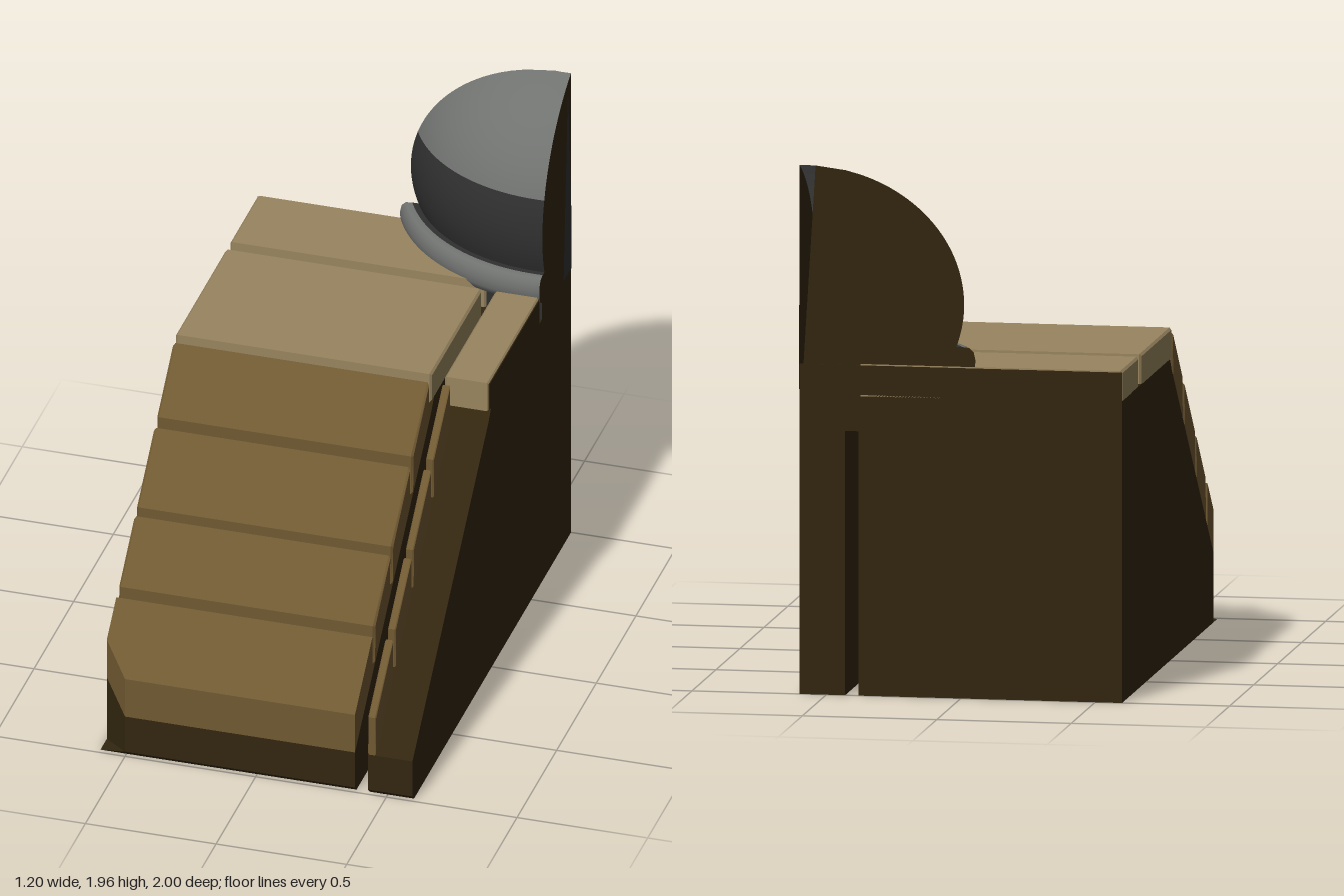
import * as THREE from 'three';

const mat = (name, color) => new THREE.MeshStandardMaterial({ name, color, side: THREE.DoubleSide });

export function createModel() {
  const group = new THREE.Group();
  const tan = mat('tan', 0x98855f), brown = mat('brown', 0x705932), dark = mat('darkBrown', 0x32260f);
  const grey = mat('grey', 0x707270), charcoal = mat('charcoal', 0x303030);

  const add = (name, geo, material) => {
    const mesh = new THREE.Mesh(geo, material);
    mesh.name = name;
    group.add(mesh);
    return mesh;
  };
  const shapeOf = pts => new THREE.Shape(pts.map(p => new THREE.Vector2(p[0], p[1])));

  // Profile given as [z, y], extruded from x0 to x1, optionally with its front left corner cut off
  function prism(name, pts, x0, x1, material, bevel = 0, cutCorner = false) {
    const geo = new THREE.ExtrudeGeometry(shapeOf(pts), {
      depth: x1 - x0 - 2 * bevel, bevelEnabled: bevel > 0, bevelSize: bevel,
      bevelThickness: bevel, bevelOffset: -bevel, bevelSegments: 1
    });
    geo.rotateY(-Math.PI / 2).translate(x1 - bevel, 0, 0);
    if (cutCorner) {
      const p = geo.attributes.position;
      for (let i = 0; i < p.count; i++)
        if (p.getX(i) < x0 + 0.001 && p.getZ(i) > 0.999) p.setX(i, x0 + 0.1);
      geo.computeVertexNormals();
    }
    return add(name, geo, material);
  }

  const topLine = z => 0.33 + (1 - z) * 0.936;
  const coreLine = z => topLine(z) - 0.16;

  // Sloped cores either side of the open slot
  const core = [[-1, 0], [0.9, 0], [0.9, coreLine(0.9)], [0.04, coreLine(0.04)], [0, 1.12], [-1, 1.12]];
  const toe = [[0.9, 0], [0.98, 0], [1, 0.02], [1, coreLine(1)], [0.9, coreLine(0.9)]];
  prism('leftCore', core, -0.6, 0.38, dark);
  prism('leftCoreToe', toe, -0.6, 0.38, dark, 0, true);
  prism('rightCore', core, 0.43, 0.6, dark);
  prism('rightCoreToe', toe, 0.43, 0.6, dark);

  // Sloped slabs with vertical joints
  const slab = (z0, z1) => [[z0, coreLine(z0)], [z1, coreLine(z1)], [z1, topLine(z1)], [z0, topLine(z0)]];
  for (const [z0, z1] of [[0.06, 0.27], [0.3, 0.525], [0.55, 0.75]]) {
    prism('slopeSlab', slab(z0, z1), -0.6, 0.38, brown, 0.008);
    prism('slabEdge', slab(z0, z1), 0.43, 0.46, brown, 0.004);
  }
  prism('lowestSlab', slab(0.78, 0.9), -0.6, 0.38, brown);
  prism('lowestSlabToe', slab(0.9, 1), -0.6, 0.38, brown, 0, true);
  prism('slabEdge', slab(0.78, 1), 0.43, 0.46, brown, 0.004);

  // Flat top slabs
  const flat = (z0, z1) => [[z0, 1.11], [z1, 1.11], [z1, 1.23], [z0, 1.23]];
  prism('topSlab', flat(-0.6, 0.035), -0.6, 0.38, tan, 0.008);
  prism('rearTopSlab', flat(-1, -0.655), -0.6, 0.38, tan, 0.008);
  prism('rightTopSlab', flat(-0.6, 0.035), 0.43, 0.6, tan, 0.008);

  // Dark cut faces on the slab ends
  const plate = (name, w, h, d, x, y, z) =>
    add(name, new THREE.BoxGeometry(w, h, d), dark).position.set(x, y, z);
  plate('rightSlabEnd', 0.004, 0.11, 0.63, 0.6, 1.17, -0.283);
  plate('rearSlabEnd', 1.2, 0.11, 0.004, 0, 1.17, -1);

  // Quarter dome: a turned profile trimmed at x = 0.6 and z = -1
  const cx = 0.57, cz = -1.288;
  const rMin = Math.hypot(0.6 - cx, -1 - cz);
  const domeR = y => 0.65 * Math.sqrt(Math.max(0, 1 - ((y - 1.46) / 0.56) ** 2));
  const yTop = 1.46 + 0.56 * Math.sqrt(1 - (rMin / 0.65) ** 2);
  const domePart = (y0, y1, n) => Array.from({ length: n + 1 }, (_, i) => {
    const y = y0 + (y1 - y0) * i / n;
    return [Math.max(domeR(y), rMin + 1e-5), y];
  });

  function turned(name, profile, material) {
    const n = 40, rows = profile.length - 1;
    const geo = new THREE.PlaneGeometry(1, 1, n, rows);
    const p = geo.attributes.position;
    for (let i = 0; i < p.count; i++) {
      const u = (i % (n + 1)) / n, [r, y] = profile[rows - Math.floor(i / (n + 1))];
      const right = Math.acos((0.6 - cx) / r), left = Math.PI - Math.asin((-1 - cz) / r);
      const a = left + (right - left) * u;
      p.setXYZ(i, cx + r * Math.cos(a), y, cz + r * Math.sin(a));
    }
    geo.computeVertexNormals();
    add(name, geo, material);
  }

  const neck = [[0.655, 0.98], [0.655, 1.19]];
  const ring = [[0.655, 1.19], [0.675, 1.2], [0.686, 1.225], [0.688, 1.255], [0.682, 1.285], [0.668, 1.3], [0.645, 1.303]];
  const groove = [[0.645, 1.303], [0.619, 1.303]];
  const lower = domePart(1.3, 1.61, 12), upper = domePart(1.61, yTop, 24);
  turned('domeNeck', neck, charcoal);
  turned('domeRing', ring, grey);
  turned('ringGroove', groove, charcoal);
  turned('domeLower', lower, charcoal);
  turned('domeUpper', upper, grey);

  // Flat cut faces closing the dome
  const outline = [...neck, ...ring, ...groove, ...lower, ...upper];
  const side = outline.map(([r, y]) => [cz + Math.sqrt(r * r - (0.6 - cx) ** 2), y]);
  const back = outline.map(([r, y]) => [cx - Math.sqrt(r * r - (-1 - cz) ** 2), y]);
  add('domeSideCut', new THREE.ShapeGeometry(shapeOf([[-1, 0.98], ...side])).rotateY(-Math.PI / 2), dark)
    .position.x = 0.6;
  add('domeBackCut', new THREE.ShapeGeometry(shapeOf([[0.6, 0.98], ...back])), dark).position.z = -1;

  // Narrow sliver showing the inside of the dome
  add('domeSliver', new THREE.ShapeGeometry(shapeOf([[-1, 1.13], [-0.9, 1.13], [-0.955, 1.93], [-1, 1.35]]))
    .rotateY(-Math.PI / 2), charcoal).position.x = 0.602;

  return group;
}
